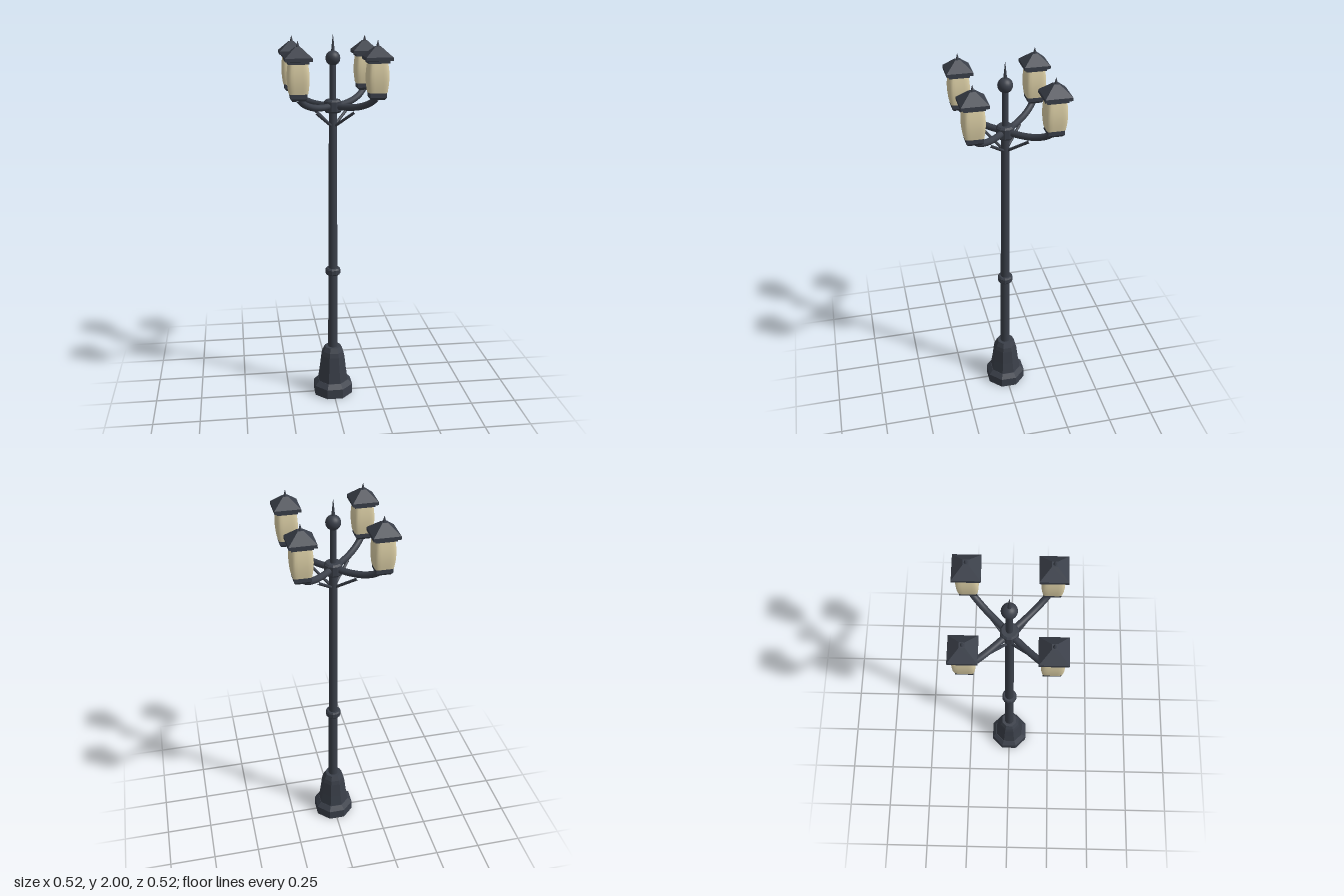
import * as THREE from 'three';
import { mergeVertices } from 'three/addons/utils/BufferGeometryUtils.js';

const iron = new THREE.MeshStandardMaterial({ color: 0x3a3f49 });
iron.name = 'dark iron';
const glass = new THREE.MeshStandardMaterial({ color: 0xdccfa6 });
glass.name = 'cream glass';

function add(parent, name, geometry, material = iron) {
  const mesh = new THREE.Mesh(geometry, material);
  mesh.name = name;
  parent.add(mesh);
  return mesh;
}

// Faceted turned solid; each [half width, y], measured across the flats
function faceted(profile, sides) {
  const k = 1 / Math.cos(Math.PI / sides);
  const pts = profile.map(([r, y]) => new THREE.Vector2(r * k, y));
  const geo = new THREE.LatheGeometry(pts, sides, Math.PI / sides).toNonIndexed();
  geo.computeVertexNormals();
  return geo;
}

// Smooth upright cylinder between two heights
function upright(rBottom, rTop, y0, y1, sides = 16) {
  return new THREE.CylinderGeometry(rTop, rBottom, y1 - y0, sides).translate(0, (y0 + y1) / 2, 0);
}

// Square glass barrel with softened corners and bulging sides
function glassBarrel(y0, y1) {
  const geo = new THREE.CylinderGeometry(1, 1, 1, 32, 10, true);
  geo.deleteAttribute('uv');
  geo.deleteAttribute('normal');
  const p = geo.attributes.position;
  for (let i = 0; i < p.count; i++) {
    const x = p.getX(i), z = p.getZ(i), t = p.getY(i) + 0.5;
    const square = Math.pow(Math.abs(x) ** 9 + Math.abs(z) ** 9, -1 / 9);
    const half = 0.043 + 0.010 * Math.sin(Math.PI * (0.1 + 0.8 * t));
    p.setXYZ(i, x * square * half, y0 + t * (y1 - y0), z * square * half);
  }
  const merged = mergeVertices(geo, 1e-5);
  merged.computeVertexNormals();
  return merged;
}

function lantern() {
  const g = new THREE.Group();
  g.name = 'lantern';
  add(g, 'lanternCup', faceted([[0, 1.7], [0.032, 1.7], [0.041, 1.712], [0.041, 1.737], [0, 1.737]], 4));
  add(g, 'lanternGlass', glassBarrel(1.735, 1.885), glass);
  add(g, 'lanternRoof', faceted([
    [0, 1.878], [0.052, 1.878], [0.052, 1.89], [0.066, 1.892],
    [0.066, 1.908], [0.013, 1.957], [0, 1.957]], 4));
  add(g, 'lanternFinial', upright(0.009, 0.001, 1.955, 1.985, 10));
  return g;
}

// One diagonal branch: arm, brace and lantern, built along +x and turned
function branch(angle) {
  const g = new THREE.Group();
  g.name = 'branch';
  const reach = 0.276;
  const arm = new THREE.CatmullRomCurve3([
    [0.02, 1.642], [0.09, 1.642], [0.17, 1.653], [0.235, 1.677], [reach, 1.708],
  ].map(([x, y]) => new THREE.Vector3(x, y, 0)));
  add(g, 'arm', new THREE.TubeGeometry(arm, 20, 0.017, 12));

  const brace = new THREE.LineCurve3(new THREE.Vector3(0, 1.53, 0), new THREE.Vector3(0.14, 1.622, 0));
  add(g, 'brace', new THREE.TubeGeometry(brace, 1, 0.0075, 8));

  const lamp = lantern();
  lamp.position.x = reach;
  lamp.rotation.y = -angle; // keep lanterns square to the axes
  g.add(lamp);
  g.rotation.y = angle;
  return g;
}

export function createModel() {
  const model = new THREE.Group();
  model.name = 'streetLamp';

  // Octagonal foot and tapering pedestal
  add(model, 'foot', faceted([[0, 0], [0.105, 0], [0.105, 0.055], [0.083, 0.08], [0, 0.08]], 8));
  add(model, 'pedestal', faceted([
    [0.081, 0.078], [0.071, 0.15], [0.062, 0.23], [0.056, 0.255], [0.043, 0.282], [0, 0.282]], 8));

  // Tapering pole and its collars
  add(model, 'pole', upright(0.027, 0.021, 0.27, 1.64, 20));
  add(model, 'collar', faceted([
    [0.024, 0.714], [0.034, 0.714], [0.04, 0.722], [0.04, 0.745], [0.034, 0.753], [0.024, 0.753]], 12));
  add(model, 'hub', faceted([
    [0, 1.608], [0.036, 1.608], [0.044, 1.617], [0.044, 1.666], [0.036, 1.675], [0, 1.675]], 12));

  // Central post with ball and spike
  add(model, 'topPost', upright(0.017, 0.016, 1.66, 1.87));
  add(model, 'ball', new THREE.SphereGeometry(0.038, 24, 16).translate(0, 1.885, 0));
  add(model, 'spike', upright(0.01, 0.001, 1.915, 2, 12));

  for (let i = 0; i < 4; i++) model.add(branch(Math.PI / 4 + (i * Math.PI) / 2));
  return model;
}
